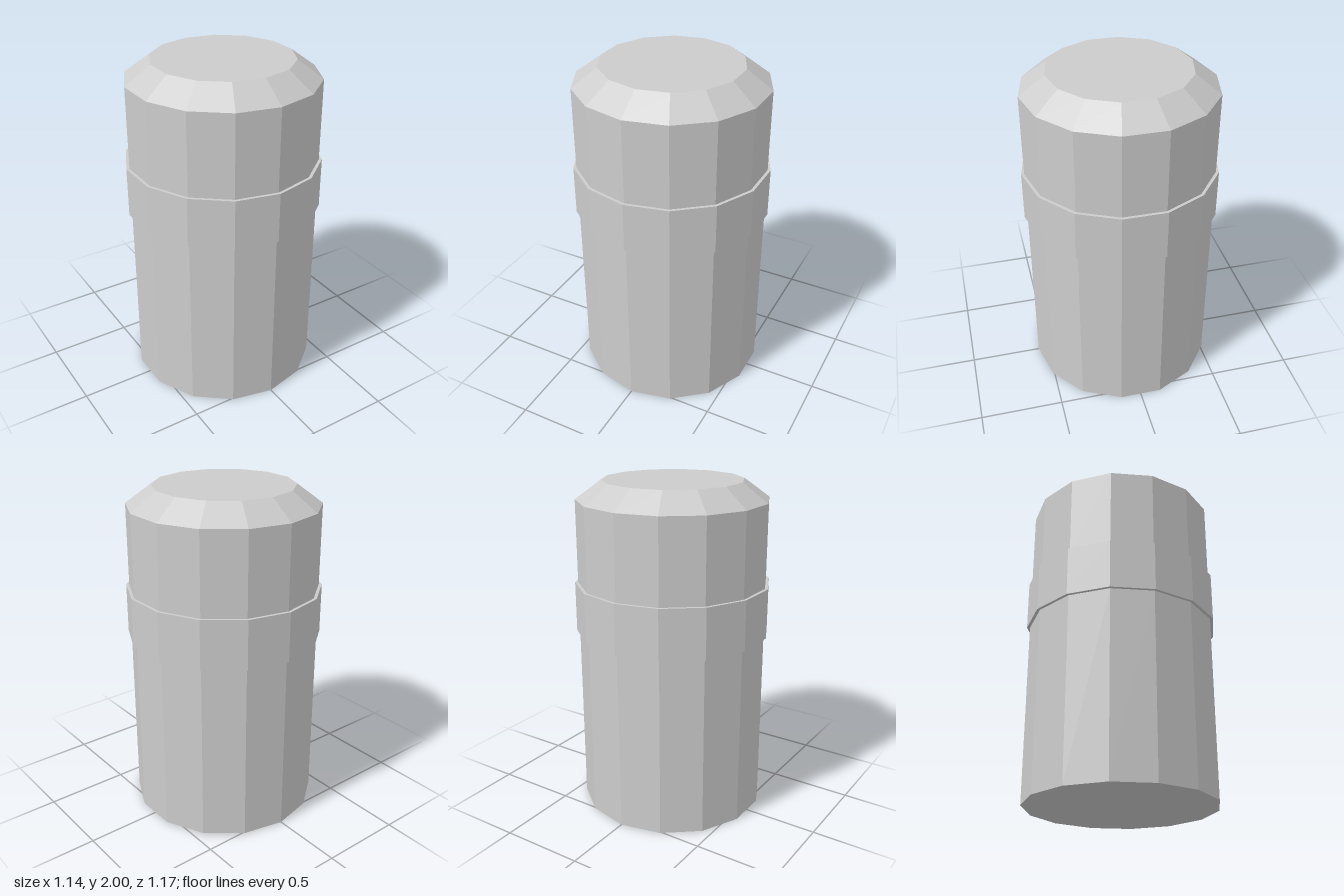
import * as THREE from 'three';

const SIDES = 14;

export function createModel() {
  const model = new THREE.Group();
  model.name = 'canister';

  const grey = new THREE.MeshStandardMaterial({ color: 0xcccccc, flatShading: true });
  grey.name = 'light grey';

  // Fourteen-sided section between two heights; a corner points to the front
  function section(name, bottomRadius, topRadius, y0, y1) {
    const geometry = new THREE.CylinderGeometry(topRadius, bottomRadius, y1 - y0, SIDES);
    geometry.translate(0, (y0 + y1) / 2, 0);
    const mesh = new THREE.Mesh(geometry, grey);
    mesh.name = name;
    model.add(mesh);
  }

  section('lowerBody', 0.565, 0.565, 0, 1.1);
  section('band', 0.583, 0.583, 1.1, 1.4);
  section('upperBody', 0.565, 0.565, 1.4, 1.89);
  section('bevelledTop', 0.565, 0.415, 1.89, 2);

  return model;
}
